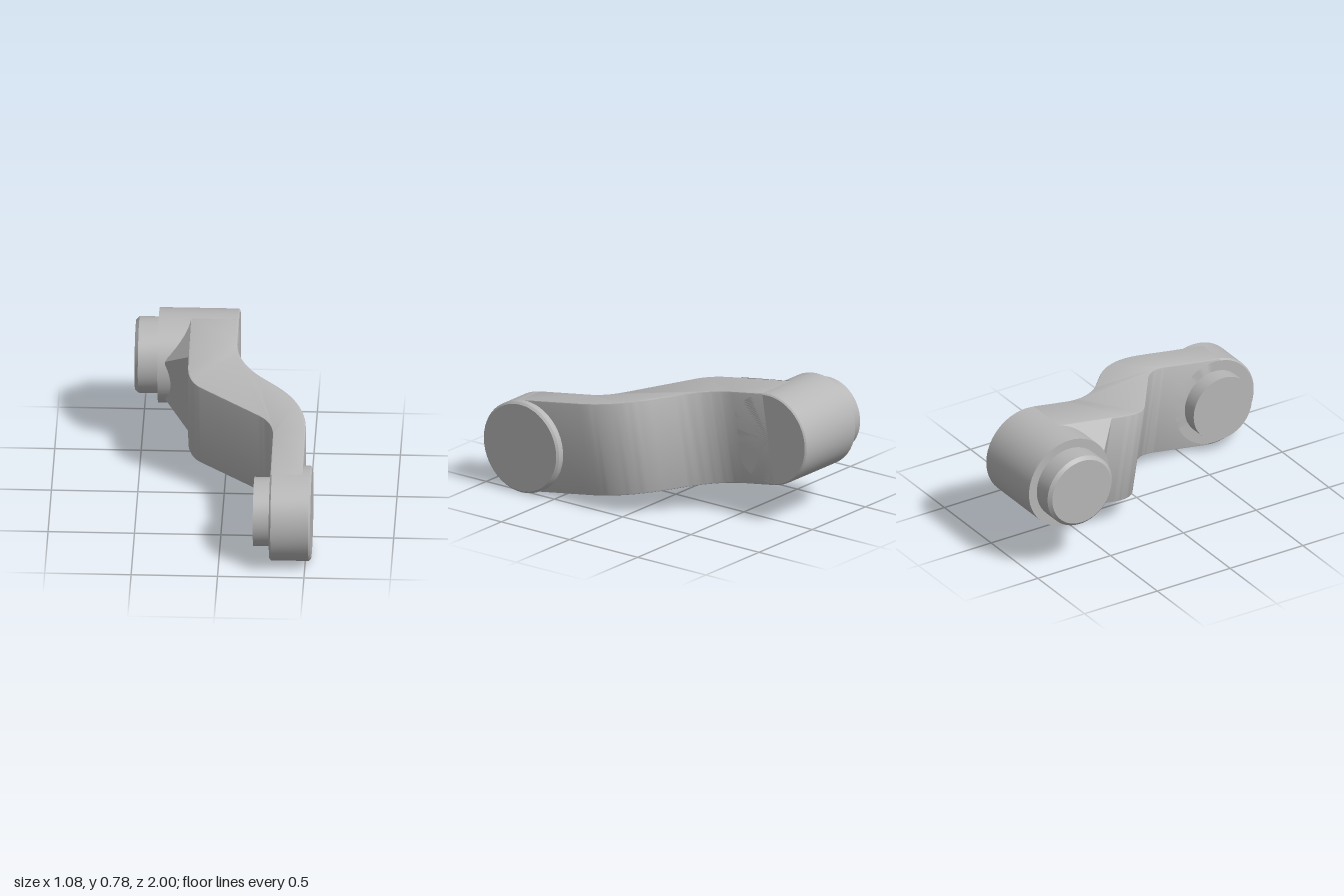
import * as THREE from 'three';
import { toCreasedNormals } from 'three/addons/utils/BufferGeometryUtils.js';
import { ConvexGeometry } from 'three/addons/geometries/ConvexGeometry.js';

const R = 0.276;                        // radius of both bosses
const REAR = { y: 0.509, z: -0.724 };
const FRONT = { y: 0.276, z: 0.724 };

export function createModel() {
  const model = new THREE.Group();
  const steel = new THREE.MeshStandardMaterial({ color: 0xb6b6b6 });
  steel.name = 'steel grey';

  function add(name, geometry) {
    const mesh = new THREE.Mesh(geometry, steel);
    mesh.name = name;
    model.add(mesh);
    return mesh;
  }

  // Cylinder lying along x, with an optional chamfer at either end
  function disc(name, centre, r, x0, x1, c0 = 0, c1 = 0) {
    const profile = [[0, x0], [r - c0, x0]];
    if (c0) profile.push([r, x0 + c0]);
    if (c1) profile.push([r, x1 - c1]);
    profile.push([r - c1, x1], [0, x1]);
    const lathe = new THREE.LatheGeometry(profile.map(p => new THREE.Vector2(...p)), 48);
    lathe.rotateZ(-Math.PI / 2);
    add(name, toCreasedNormals(lathe, 0.5)).position.set(0, centre.y, centre.z);
  }

  disc('rearBoss', REAR, R, -0.405, 0.06, 0, 0.008);
  disc('rearPin', REAR, 0.222, -0.54, -0.4, 0.02, 0);
  disc('frontBoss', FRONT, R, 0.295, 0.535, 0.01, 0.012);
  disc('frontPin', { y: 0.28, z: 0.72 }, 0.2, 0.2, 0.3);

  // S-shaped arm: plan outline extruded, then tilted to join the two bosses
  const tilt = Math.atan2(REAR.y - FRONT.y, FRONT.z - REAR.z);
  const half = Math.hypot(REAR.y - FRONT.y, FRONT.z - REAR.z) / 2;
  const plan = new THREE.Shape();
  plan.moveTo(-0.22, -half);
  plan.lineTo(0.06, -half);
  plan.lineTo(0.06, -0.51);
  plan.quadraticCurveTo(0.06, -0.34, 0.2, -0.2);
  plan.lineTo(0.31, -0.1);
  plan.quadraticCurveTo(0.485, 0.064, 0.485, 0.3);
  plan.lineTo(0.485, half);
  plan.lineTo(0.295, half);
  plan.lineTo(0.295, 0.36);
  plan.quadraticCurveTo(0.295, 0.238, 0.2, 0.17);
  plan.lineTo(-0.14, -0.077);
  plan.quadraticCurveTo(-0.22, -0.135, -0.22, -0.28);
  plan.closePath();
  const b = 0.008;
  const arm = new THREE.ExtrudeGeometry(plan, {
    depth: 2 * (R - b), bevelThickness: b, bevelSize: b, bevelOffset: -b,
    bevelSegments: 2, curveSegments: 16,
  });
  arm.translate(0, 0, b - R);
  arm.rotateX(Math.PI / 2 + tilt);
  add('arm', toCreasedNormals(arm, 0.5))
    .position.set(0, (REAR.y + FRONT.y) / 2, 0);

  // Wedge-shaped rib between the rear boss and the arm
  add('gusset', new ConvexGeometry([
    [-0.36, 0.61, -0.455], [-0.36, 0.335, -0.505],
    [-0.218, 0.724, -0.31], [-0.218, 0.178, -0.4],
    [-0.218, 0.778, -0.66], [-0.218, 0.237, -0.765],
  ].map(p => new THREE.Vector3(...p))));

  return model;
}
